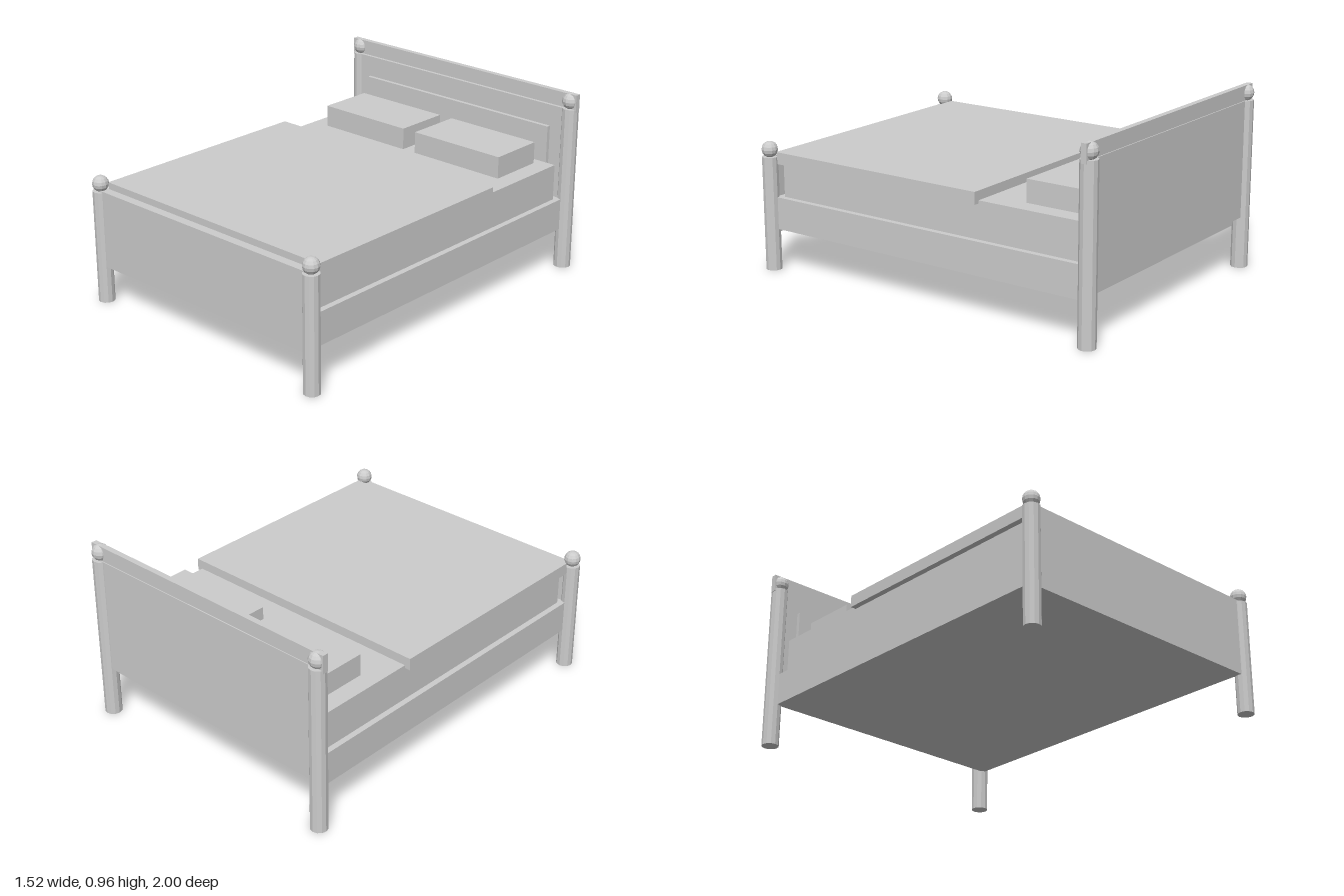
import * as THREE from 'three';

export function createModel() {
  const model = new THREE.Group();
  model.name = 'bed';
  const grey = new THREE.MeshStandardMaterial({ color: 0xcccccc });
  grey.name = 'light grey';
  grey.flatShading = true;

  const add = (name, geometry, x, y, z) => {
    const mesh = new THREE.Mesh(geometry, grey);
    mesh.name = name;
    mesh.position.set(x, y, z);
    model.add(mesh);
  };

  // Box given by its lower and upper limits on each axis
  const box = (name, [x0, x1], [y0, y1], [z0, z1]) =>
    add(name, new THREE.BoxGeometry(x1 - x0, y1 - y0, z1 - z0),
      (x0 + x1) / 2, (y0 + y1) / 2, (z0 + z1) / 2);

  // Round post with a ball finial
  const post = (name, x, z, height, radius) => {
    add(name + 'Post', new THREE.CylinderGeometry(radius, radius, height, 12), x, height / 2, z);
    add(name + 'Finial', new THREE.SphereGeometry(radius, 12, 8), x, height + 0.037, z);
  };

  for (const side of [-1, 1]) {
    const label = side > 0 ? 'left' : 'right';
    post(label + 'Foot', side * 0.717, 0.957, 0.594, 0.042);
    post(label + 'Head', side * 0.717, -0.956, 0.877, 0.044);
    // Pillow
    const xs = side > 0 ? [0.04, 0.59] : [-0.59, -0.04];
    box(label + 'Pillow', xs, [0.57, 0.69], [-0.837, -0.535]);
  }

  // Headboard with a thin top rail and a raised inner panel
  box('headboard', [-0.717, 0.717], [0.27, 0.878], [-0.975, -0.923]);
  box('headboardRail', [-0.762, 0.762], [0.862, 0.955], [-0.97, -0.94]);
  box('headboardPanel', [-0.62, 0.62], [0.38, 0.765], [-0.93, -0.902]);

  // Footboard and its cap
  box('footboard', [-0.717, 0.717], [0.196, 0.575], [0.929, 0.975]);
  box('footboardCap', [-0.7, 0.7], [0.575, 0.6], [0.929, 0.975]);

  // Frame and bedding
  box('frame', [-0.717, 0.717], [0.217, 0.385], [-0.925, 0.935]);
  box('mattress', [-0.687, 0.687], [0.38, 0.575], [-0.887, 0.893]);
  box('blanket', [-0.717, 0.717], [0.56, 0.622], [-0.332, 0.908]);

  return model;
}
